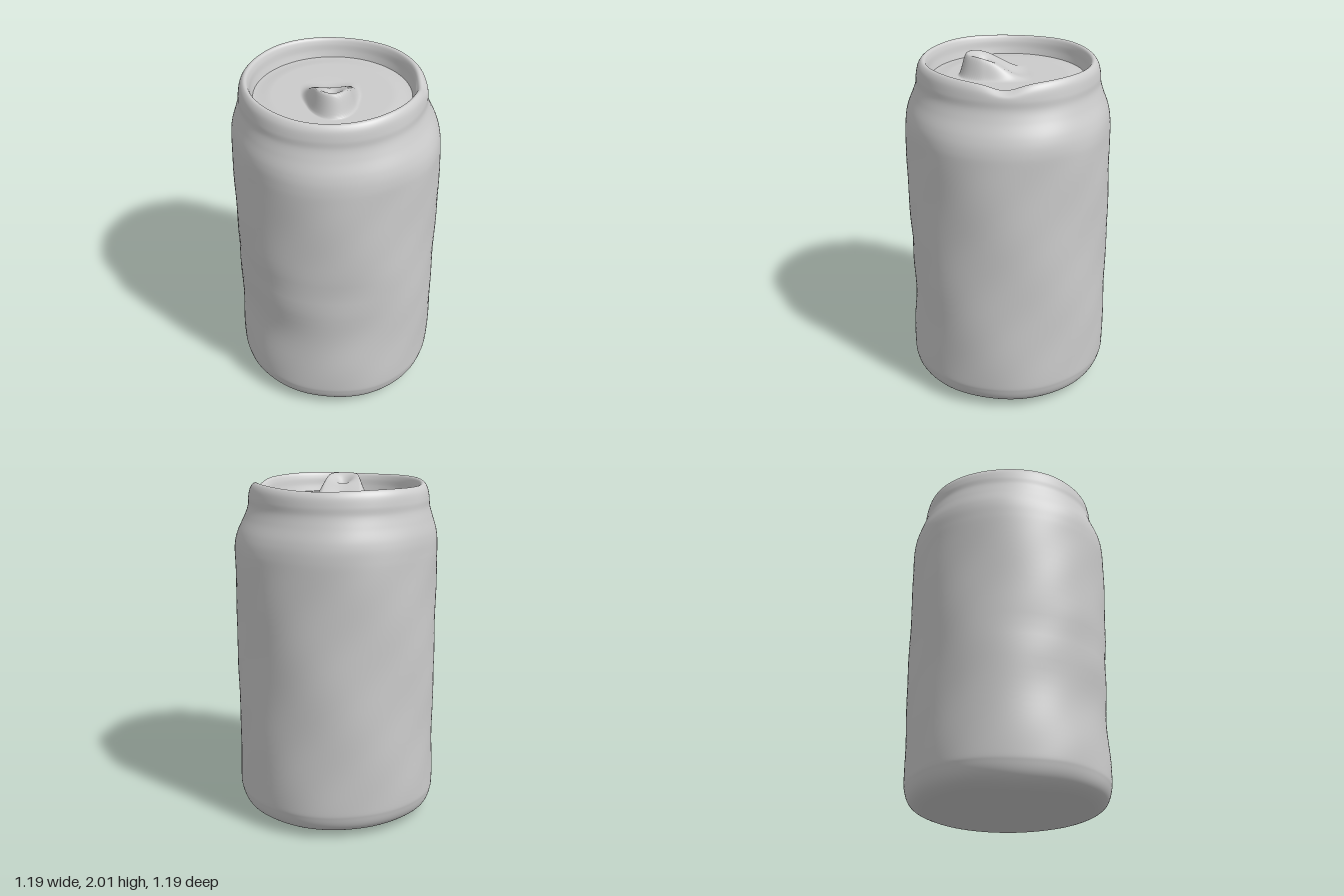
import * as THREE from 'three';
import { mergeVertices } from 'three/addons/utils/BufferGeometryUtils.js';

const smooth = THREE.MathUtils.smoothstep;
const bump = (d, w) => Math.exp(-(d * d) / (w * w));

// Hand-worn unevenness shared by every part of the can
function warp(p) {
  const a = Math.atan2(p.z, p.x);
  const r = Math.hypot(p.x, p.z);
  const y = p.y;
  const wall = smooth(r, 0.42, 0.56);
  // soft ripples on the wall
  let k = 1 + wall * (0.006 * Math.sin(3 * a + 2.2 * y) + 0.004 * Math.sin(5 * a - 7 * y)
    + 0.002 * Math.sin(9 * a + 17 * y));
  // shallow dents in the front
  const front = smooth(Math.sin(a), 0.2, 1) * wall;
  k -= 0.04 * front * bump(y - 0.55, 0.22) + 0.012 * front * bump(y - 0.9, 0.08);
  // neck and lid sit slightly off centre
  const neck = smooth(y, 1.6, 1.85);
  p.x = p.x * k - 0.017 * neck;
  p.z = p.z * k + 0.008 * neck;
  // sagging corner of the base and nick in the rim
  p.y -= 0.022 * bump(p.x + 0.28, 0.2) * bump(p.z - 0.3, 0.2) * (1 - smooth(y, 0.02, 0.3));
  const lip = smooth(y, 1.9, 1.98) * smooth(r, 0.42, 0.46);
  p.y += lip * (0.004 * Math.sin(4 * a) - 0.03 * bump(a + 0.5, 0.2));
}

// Tab: a ramp rising from the lid, tapering to a blunt tip with a dimple
function tabHeight(x, z) {
  const u = 0.6 * x + 0.8 * z;
  const v = 0.8 * x - 0.6 * z + 0.01;
  const half = THREE.MathUtils.lerp(0.145, 0.1, smooth(u, 0, 0.25));
  const tip = Math.max(0, u - 0.15) / 0.115;
  const edge = Math.hypot(v / half, tip);
  const inside = 1 - smooth(edge, 0.72, 1.15);
  const ramp = 0.125 * smooth(u, -0.12, 0.2);
  const dimple = 0.05 * bump(Math.hypot(u - 0.14, v), 0.05);
  const hollow = 0.015 * bump(Math.hypot(u + 0.02, v), 0.07);
  return inside * (ramp - dimple) - hollow;
}

// Smooth revolved surface whose vertices are then moved by a rule
function revolve(points, name, rule) {
  let geo = new THREE.LatheGeometry(points, 128);
  geo.deleteAttribute('uv');
  geo.deleteAttribute('normal');
  geo = mergeVertices(geo, 1e-5);
  const pos = geo.attributes.position;
  const p = new THREE.Vector3();
  for (let i = 0; i < pos.count; i++) {
    p.fromBufferAttribute(pos, i);
    rule(p);
    pos.setXYZ(i, p.x, p.y, p.z);
  }
  geo.computeVertexNormals();
  const mesh = new THREE.Mesh(geo, new THREE.MeshStandardMaterial({
    color: 0xcccccc, side: THREE.DoubleSide }));
  mesh.name = name;
  return mesh;
}

export function createModel() {
  const group = new THREE.Group();
  group.name = 'drinkCan';

  // Base, wall, shoulder, neck and rolled rim
  const profile = [
    [0, 0.025], [0.25, 0.024], [0.44, 0.025], [0.51, 0.036], [0.558, 0.07], [0.583, 0.13],
    [0.59, 0.22], [0.59, 0.6], [0.589, 1.1], [0.589, 1.5], [0.586, 1.63], [0.572, 1.71],
    [0.542, 1.79], [0.523, 1.85], [0.519, 1.9], [0.508, 1.95], [0.488, 1.978],
    [0.468, 1.977], [0.455, 1.95], [0.447, 1.91], [0.437, 1.875],
  ].map(([r, y]) => new THREE.Vector2(r, y));
  const bodyPoints = new THREE.SplineCurve(profile).getPoints(160);
  bodyPoints[0].x = 0;
  group.add(revolve(bodyPoints, 'body', warp));

  // Recessed lid with the lifted tab
  const lidPoints = [];
  for (let i = 0; i <= 70; i++) {
    const r = 0.437 * (1 - i / 70);
    const y = 1.875 + 0.01 * (1 - smooth(r, 0.33, 0.43));
    lidPoints.push(new THREE.Vector2(r, y));
  }
  group.add(revolve(lidPoints, 'lidWithTab', (p) => {
    const lift = tabHeight(p.x + 0.0, p.z);
    warp(p);
    p.y += lift;
  }));

  return group;
}
